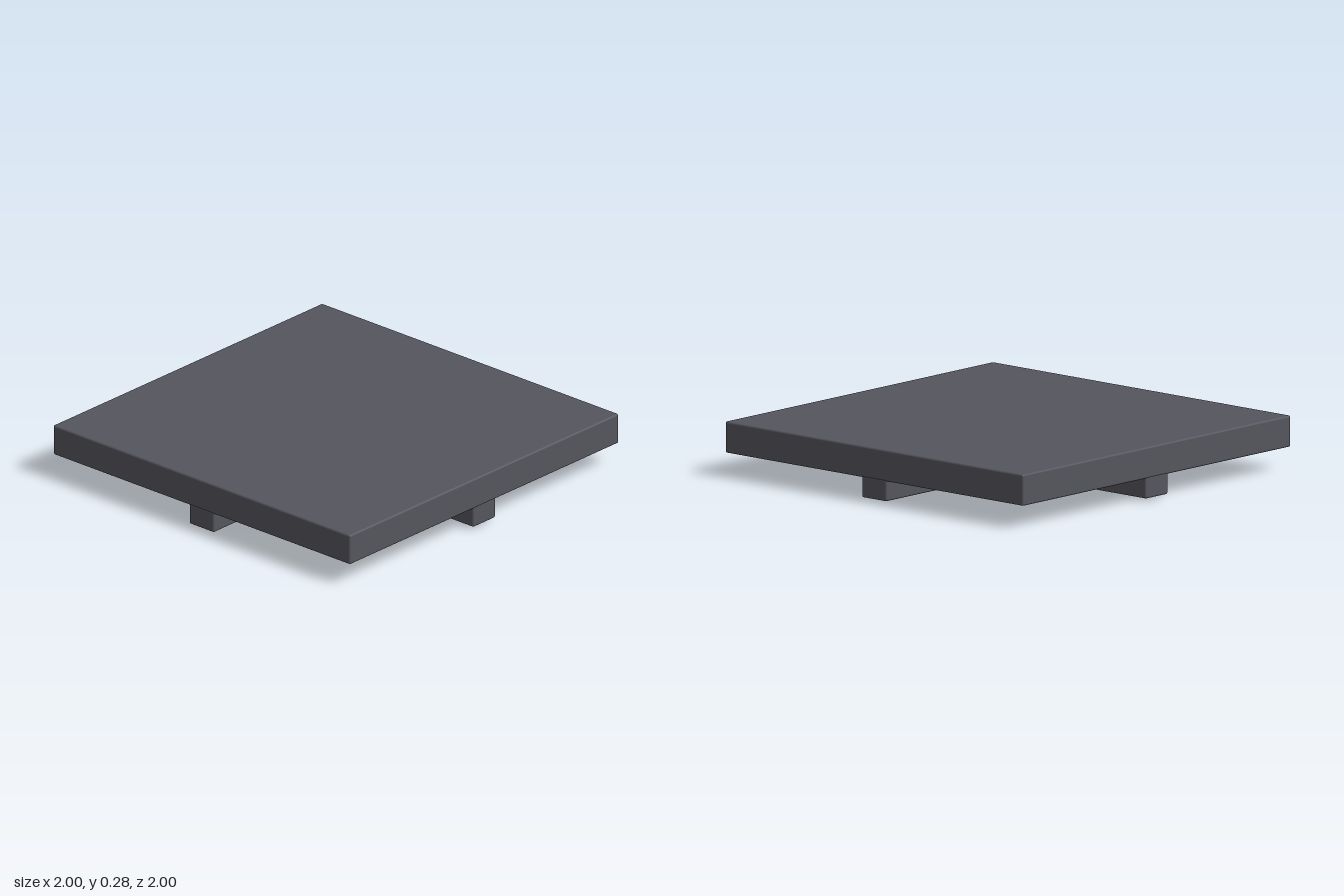
import * as THREE from 'three';
import { RoundedBoxGeometry } from 'three/addons/geometries/RoundedBoxGeometry.js';

export function createModel() {
  const model = new THREE.Group();
  const slate = new THREE.MeshStandardMaterial({ color: 0x55555e });
  slate.name = 'slate grey';
  const brass = new THREE.MeshStandardMaterial({ color: 0xc8963f });
  brass.name = 'brass';

  // Softly bevelled block standing on height y0
  function block(name, material, [w, h, d], [x, y0, z], bevel, turn = 0) {
    const mesh = new THREE.Mesh(new RoundedBoxGeometry(w, h, d, 2, bevel), material);
    mesh.name = name;
    mesh.position.set(x, y0 + h / 2, z);
    mesh.rotation.y = turn;
    model.add(mesh);
  }

  // Square slab
  block('slab', slate, [2, 0.16, 2], [0, 0.115, 0], 0.01);

  // Crossed beams under the slab: one full length, two arms meeting it
  const beamWidth = 0.166, beamHeight = 0.112, beamBase = 0.013;
  block('longBeam', slate, [beamWidth, beamHeight, 2], [0, beamBase, 0], 0.01);
  const armLength = 0.96;
  for (const side of [-1, 1]) {
    block('beamArm', slate, [armLength, beamHeight, beamWidth],
      [side * (1 - armLength / 2), beamBase, 0], 0.01);
  }

  // Diagonal brass plate beneath the crossing
  block('bracketPlate', brass, [0.304, 0.013, 0.304], [0, 0, 0], 0.004, Math.PI / 4);

  // Brass tabs rising in the four corners between the beams
  for (let i = 0; i < 4; i++) {
    const angle = Math.PI / 4 + i * Math.PI / 2;
    const r = 0.125;
    block('bracketTab', brass, [0.068, 0.078, 0.06],
      [Math.sin(angle) * r, 0.004, Math.cos(angle) * r], 0.004, angle);
  }
  return model;
}
